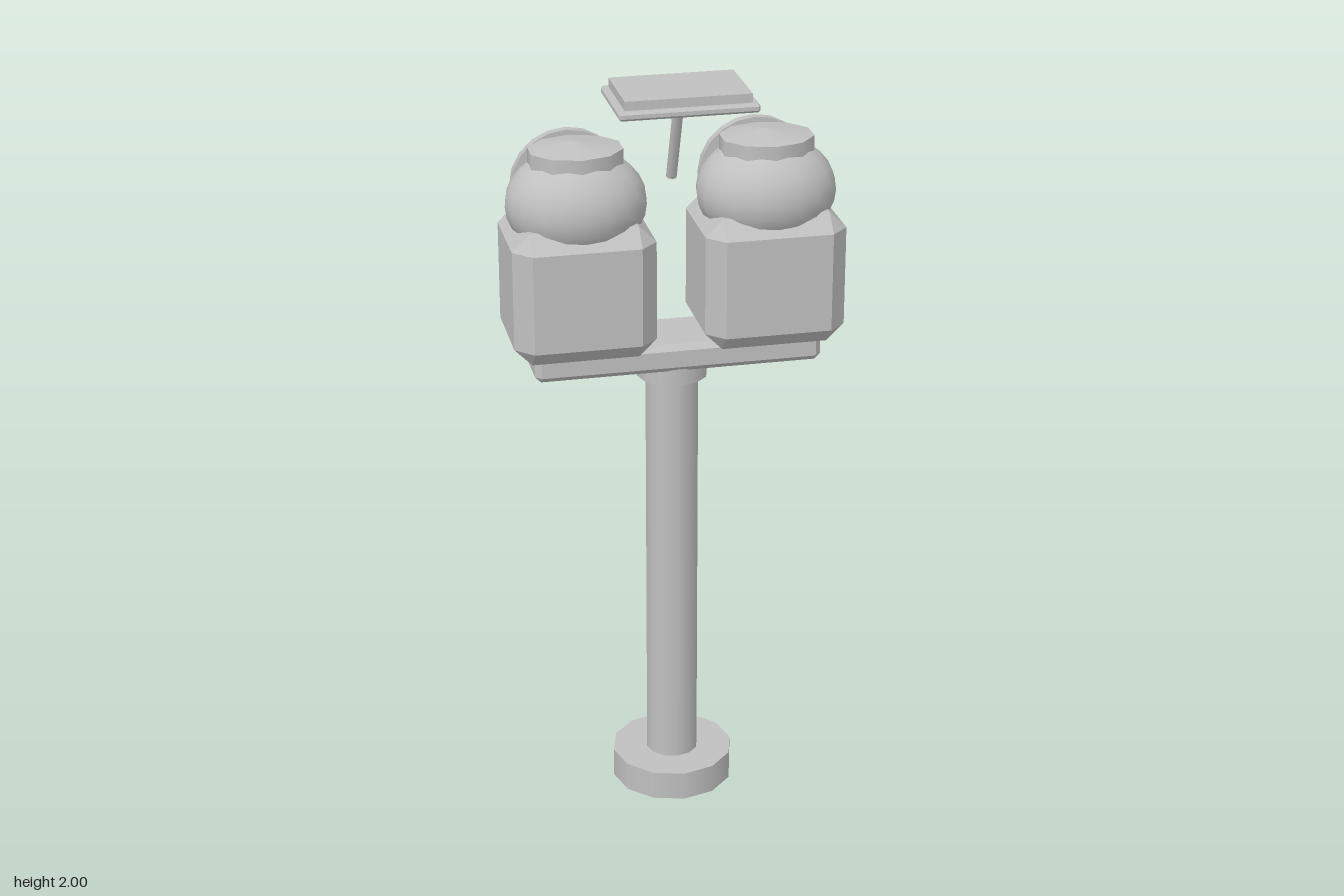
import * as THREE from 'three';
import { ConvexGeometry } from 'three/addons/geometries/ConvexGeometry.js';

const metal = new THREE.MeshStandardMaterial({ name: 'grey metal', color: 0xc0c0c0 });

function add(parent, name, geometry, x, y, z) {
  const mesh = new THREE.Mesh(geometry, metal);
  mesh.name = name;
  mesh.position.set(x, y, z);
  parent.add(mesh);
  return mesh;
}

// Box with every edge cut at 45 degrees by c
function chamferBox(w, h, d, c) {
  const half = [w / 2, h / 2, d / 2];
  const points = [];
  for (const sx of [-1, 1]) for (const sy of [-1, 1]) for (const sz of [-1, 1]) {
    for (let axis = 0; axis < 3; axis++) {
      const p = half.map((v, i) => (i === axis ? v : v - c));
      points.push(new THREE.Vector3(p[0] * sx, p[1] * sy, p[2] * sz));
    }
  }
  return new ConvexGeometry(points);
}

const cylinder = (r, h, n) => new THREE.CylinderGeometry(r, r, h, n);

function createMeter(name, x) {
  const meter = new THREE.Group();
  meter.name = name;
  meter.position.set(x, 0, -0.013);

  // Housing and rounded head
  add(meter, 'housing', chamferBox(0.365, 0.35, 0.315, 0.045), 0, 1.475, 0);
  add(meter, 'head', new THREE.SphereGeometry(1, 20, 14), 0, 1.685, 0).scale.set(0.18, 0.14, 0.158);

  // Cap with a shallow pointed top
  add(meter, 'cap', cylinder(1, 0.06, 10), 0, 1.797, 0).scale.set(0.122, 1, 0.103);
  add(meter, 'capTop', new THREE.ConeGeometry(1, 0.018, 10, 1, true), 0, 1.836, 0).scale.set(0.122, 1, 0.103);

  // Round display window on the back
  add(meter, 'displayRing', cylinder(0.146, 0.024, 20), 0, 1.69, -0.13).rotation.x = Math.PI / 2;
  const lens = add(meter, 'displayLens', new THREE.SphereGeometry(1, 14, 10), 0, 1.69, -0.125);
  lens.rotation.x = Math.PI / 2;
  lens.scale.set(0.112, 0.05, 0.106);

  // Coin plate, slot bar and upper strip on the back
  add(meter, 'coinPlateBase', new THREE.BoxGeometry(0.17, 0.07, 0.03), 0, 1.352, -0.162);
  add(meter, 'coinPlate', chamferBox(0.196, 0.094, 0.014, 0.004), 0, 1.352, -0.18);
  add(meter, 'slotBar', new THREE.BoxGeometry(0.118, 0.032, 0.02), 0, 1.352, -0.184);
  add(meter, 'upperStrip', new THREE.BoxGeometry(0.118, 0.024, 0.024), 0, 1.43, -0.158);
  return meter;
}

export function createModel() {
  const model = new THREE.Group();
  model.name = 'twinMeterPost';

  // Post
  add(model, 'base', cylinder(0.164, 0.08, 12), 0, 0.04, -0.01);
  add(model, 'post', cylinder(0.07, 1.16, 12), 0, 0.64, -0.01);
  add(model, 'collar', cylinder(0.093, 0.045, 12), 0, 1.222, -0.01);
  add(model, 'crossbar', chamferBox(0.746, 0.075, 0.2, 0.015), 0, 1.278, -0.01);

  // Pair of meters
  for (const side of [-1, 1]) {
    model.add(createMeter(side > 0 ? 'leftMeter' : 'rightMeter', side * 0.245));
  }

  // Roof panel on a leaning stalk
  const from = new THREE.Vector3(0, 1.735, -0.015);
  const to = new THREE.Vector3(0, 1.955, 0.072);
  const mid = from.clone().add(to).multiplyScalar(0.5);
  const stalk = add(model, 'panelStalk', cylinder(0.014, from.distanceTo(to), 8), 0, mid.y, mid.z);
  stalk.rotation.x = Math.atan2(to.z - from.z, to.y - from.y);
  add(model, 'panelFrame', chamferBox(0.35, 0.022, 0.236, 0.006), 0, 1.966, 0.083);
  add(model, 'panel', new THREE.BoxGeometry(0.316, 0.024, 0.202), 0, 1.988, 0.083);
  return model;
}
